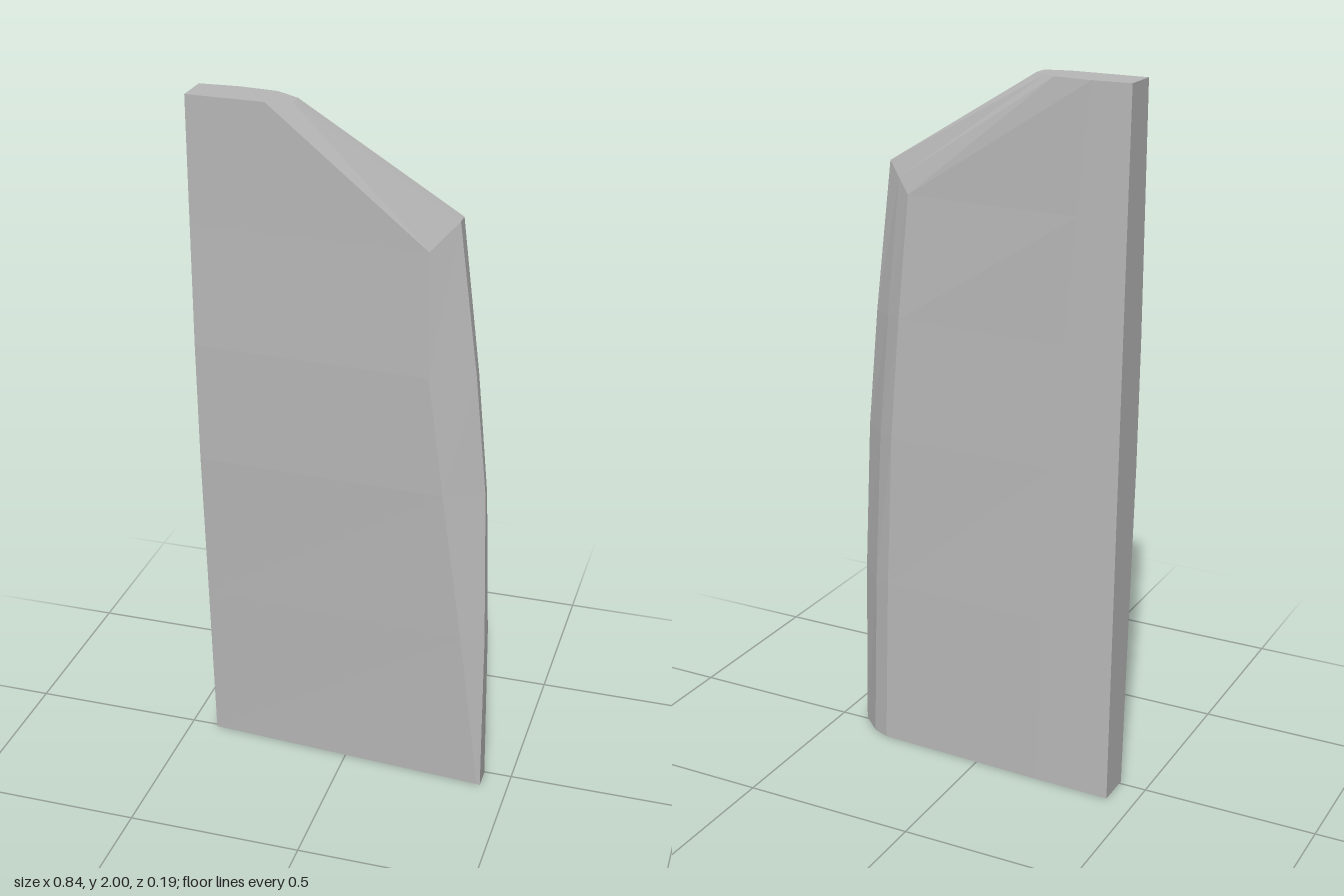
import * as THREE from 'three';

// Cross-sections from base to tip; each point is [x, z] or [x, z, y].
// Order: back root, front root, front bevel, edge front, edge back, back bevel outer, back bevel inner, back middle
const sections = [
  { y: 0, p: [[-0.42, -0.093], [-0.42, 0.01], [0.41, 0.064], [0.42, 0.065], [0.42, 0.005], [0.36, -0.05], [0.31, -0.07], [-0.2, -0.088]] },
  { y: 0.5, p: [[-0.42, -0.08], [-0.42, 0.034], [0.35, 0.075], [0.415, 0.055], [0.415, 0.014], [0.35, -0.04], [0.3, -0.06], [-0.2, -0.077]] },
  { y: 0.95, p: [[-0.42, -0.068], [-0.42, 0.057], [0.29, 0.085], [0.4, 0.046], [0.4, 0.026], [0.335, -0.025], [0.285, -0.05], [-0.22, -0.066]] },
  { y: 1.3, p: [[-0.42, -0.059], [-0.42, 0.065], [0.245, 0.092], [0.366, 0.051], [0.366, 0.024], [0.31, -0.012], [0.262, -0.038], [-0.25, -0.058]] },
  { y: 1.65, p: [[-0.42, -0.05], [-0.42, 0.065], [0.24, 0.09], [0.313, 0.06, 1.73], [0.313, 0.022, 1.73], [0.274, 0, 1.69], [0.235, -0.022], [-0.28, -0.05]] },
  { y: 2, p: [[-0.42, -0.04], [-0.42, 0.065], [-0.2, 0.075], [-0.13, 0.06], [-0.13, 0.015], [-0.165, -0.008], [-0.2, -0.03], [-0.31, -0.043]] },
];

function loft(rings) {
  const n = rings[0].p.length;
  const last = (rings.length - 1) * n;
  const positions = rings.flatMap(({ y, p }) => p.flatMap(([x, z, py = y]) => [x, py, z]));
  const index = [];
  // Walls between neighbouring sections
  for (let r = 0; r < rings.length - 1; r++) {
    for (let i = 0; i < n; i++) {
      const a = r * n + i, b = r * n + (i + 1) % n;
      index.push(a, b, b + n, a, b + n, a + n);
    }
  }
  // Base and tip caps
  for (let i = 1; i < n - 1; i++) {
    index.push(0, i + 1, i);
    index.push(last, last + i, last + i + 1);
  }
  const geometry = new THREE.BufferGeometry();
  geometry.setAttribute('position', new THREE.Float32BufferAttribute(positions, 3));
  geometry.setIndex(index);
  const flat = geometry.toNonIndexed();
  flat.computeVertexNormals();
  return flat;
}

export function createModel() {
  const group = new THREE.Group();
  group.name = 'bevelledPanel';
  const grey = new THREE.MeshStandardMaterial({ color: 0xb8b8b8, flatShading: true });
  grey.name = 'plain grey';

  // Tapered slab with a clipped upper corner and bevelled outer edge
  const panel = new THREE.Mesh(loft(sections), grey);
  panel.name = 'panel';
  group.add(panel);
  return group;
}
